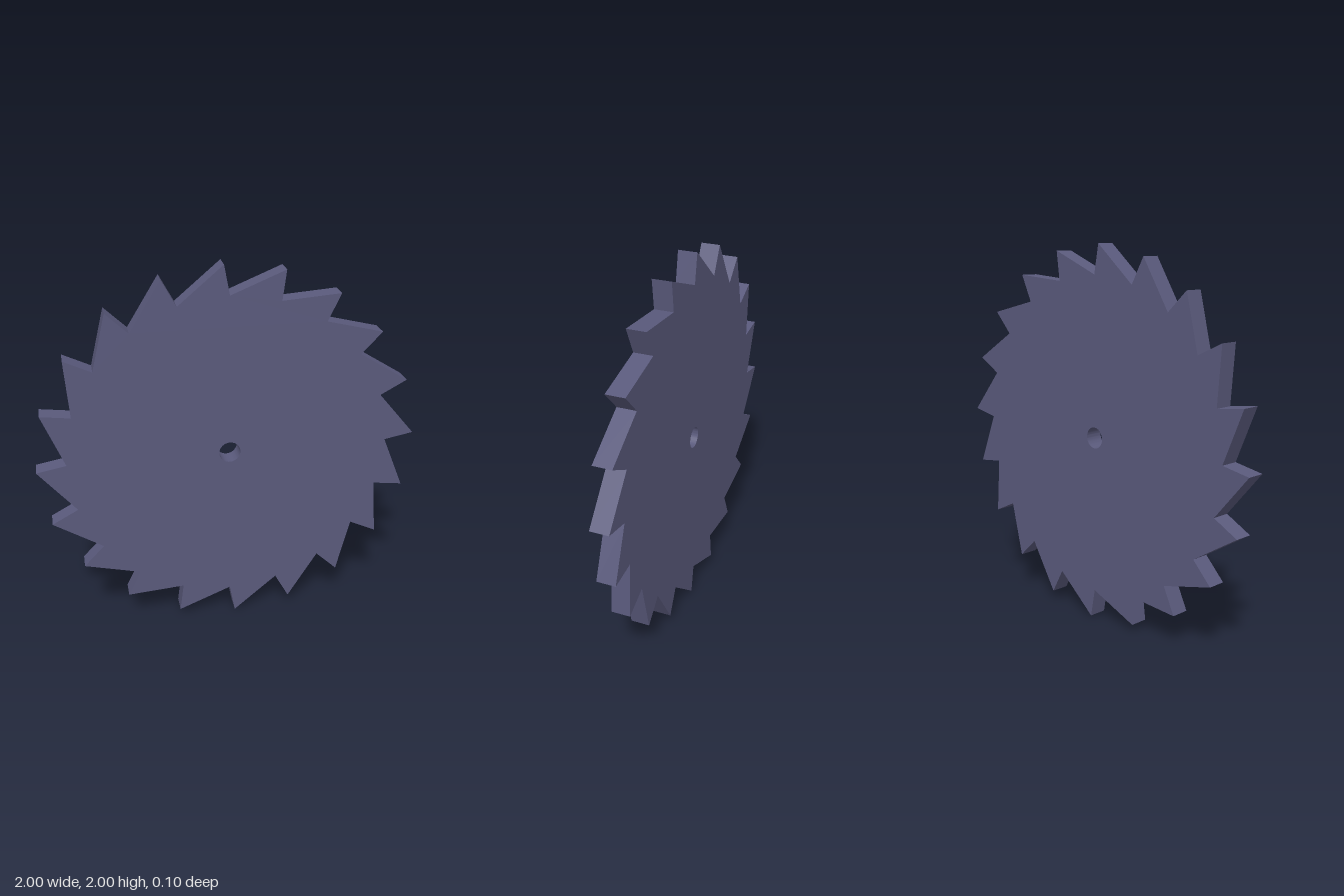
import * as THREE from 'three';
import { toCreasedNormals } from 'three/addons/utils/BufferGeometryUtils.js';

const TEETH = 20;
const TIP_RADIUS = 1.0;
const ROOT_RADIUS = 0.845;
const TIP_LEAN = 0.029; // angle by which each tip leans past its root
const HOLE_RADIUS = 0.056;
const THICKNESS = 0.1;

const polar = (radius, angle) =>
  new THREE.Vector2(radius * Math.cos(angle), radius * Math.sin(angle));

export function createModel() {
  const group = new THREE.Group();
  group.name = 'sawBlade';

  // Toothed outline: a steep face from root to tip, then a long slope to the next root
  const outline = [];
  for (let i = 0; i < TEETH; i++) {
    const angle = (i / TEETH) * Math.PI * 2;
    outline.push(polar(ROOT_RADIUS, angle), polar(TIP_RADIUS, angle + TIP_LEAN));
  }
  const shape = new THREE.Shape(outline);

  // Round arbor hole
  const hole = new THREE.Path();
  hole.absarc(0, 0, HOLE_RADIUS, 0, Math.PI * 2, true);
  shape.holes.push(hole);

  const extruded = new THREE.ExtrudeGeometry(shape, {
    depth: THICKNESS,
    bevelEnabled: false,
    curveSegments: 32,
  });
  extruded.translate(0, 0, -THICKNESS / 2);

  // Smooth hole wall, sharp teeth
  const blade = new THREE.Mesh(
    toCreasedNormals(extruded, 0.5),
    new THREE.MeshStandardMaterial({ color: 0x5a5a7c })
  );
  blade.name = 'toothedBlade';
  blade.position.y = 1;
  group.add(blade);

  return group;
}
